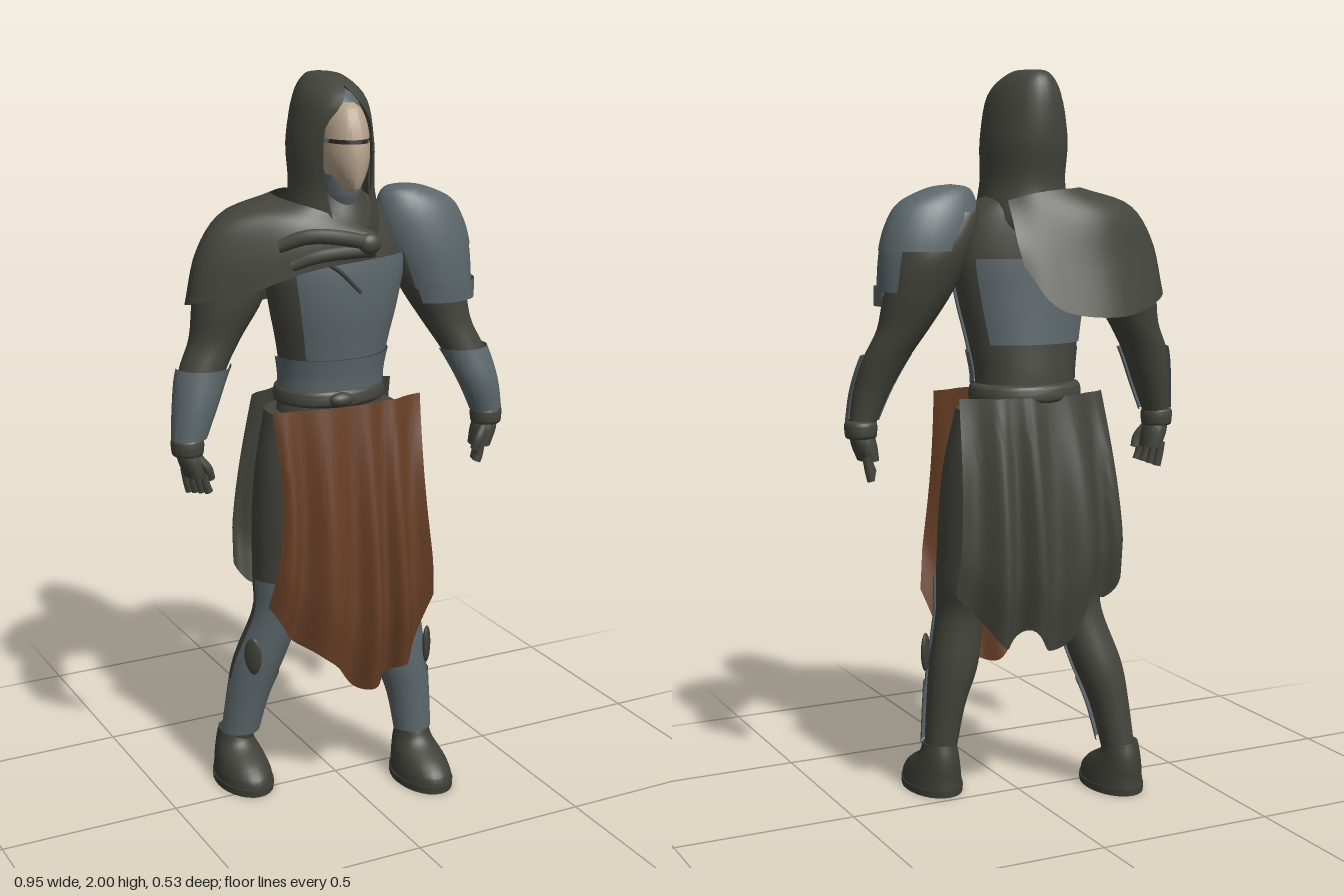
import * as THREE from 'three';
import { toCreasedNormals } from 'three/addons/utils/BufferGeometryUtils.js';

const mat = (name, color) => new THREE.MeshStandardMaterial({ name, color, side: THREE.DoubleSide });
const dark = mat('dark cloth', 0x44453d), steel = mat('steel', 0x5c676b), brown = mat('brown cloth', 0x683f26),
  bone = mat('mask', 0xb5a28b), boot = mat('boot leather', 0x3f3f38), slit = mat('eye slit', 0x2e2924);

// grid surface: u runs left to right, v top to bottom as seen from outside
function surface(name, material, nu, nv, fn) {
  const pos = [], idx = [];
  for (let j = 0; j <= nv; j++) for (let i = 0; i <= nu; i++) pos.push(...fn(i / nu, j / nv));
  for (let j = 0; j < nv; j++) for (let i = 0; i < nu; i++) {
    const a = j * (nu + 1) + i, b = a + nu + 1;
    idx.push(a, b, a + 1, b, b + 1, a + 1);
  }
  const g = new THREE.BufferGeometry();
  g.setAttribute('position', new THREE.Float32BufferAttribute(pos, 3));
  g.setIndex(idx);
  const m = new THREE.Mesh(toCreasedNormals(g, 0.9), material);
  m.name = name;
  return m;
}
const curve = pts => new THREE.CatmullRomCurve3(pts.map(p => new THREE.Vector3(...p)), false, 'catmullrom', 0.5);

// smooth stack of ellipses [x, y, z, rx, rz]; angle 0 faces +z, PI/2 faces +x
function loft(name, material, secs, o = {}) {
  const { from = 0, to = secs.length - 1, a0 = 0, a1 = Math.PI * 2, grow = 0, cap = false, open = null } = o;
  const c = curve(secs.map(s => [s[0], s[1], s[2]])), r = curve(secs.map(s => [s[3], s[4], 0]));
  const n = Math.max(4, Math.ceil((to - from) * 5)), rows = cap ? n + 2 : n;
  return surface(name, material, 28, rows, (u, v) => {
    const row = Math.round(v * rows) - (cap ? 1 : 0), k = Math.min(Math.max(row / n, 0), 1);
    const t = (from + (to - from) * k) / (secs.length - 1);
    const p = c.getPoint(t), q = r.getPoint(t), end = row < 0 || row > n ? 0 : 1;
    const gap = open ? open(p.y) : 0, a = a0 + gap + (a1 - a0 - 2 * gap) * u;
    return [p.x + end * (q.x + grow) * Math.sin(a), p.y, p.z + end * (q.y + grow) * Math.cos(a)];
  });
}
function tube(name, material, pts, radius) {
  const m = new THREE.Mesh(new THREE.TubeGeometry(curve(pts), 20, radius, 8), material);
  m.name = name;
  return m;
}
function ball(name, material, p, s, turn = 0) {
  const m = new THREE.Mesh(new THREE.SphereGeometry(1, 16, 12), material);
  m.name = name;
  m.position.set(...p);
  m.scale.set(...s);
  m.rotation.y = turn;
  return m;
}

function makeTorso() {
  const g = new THREE.Group();
  g.name = 'torso';
  const body = [[0, 1.7, -.03, .075, .08], [0, 1.63, -.03, .16, .1], [0, 1.52, -.02, .2, .118], [0, 1.4, -.02, .182, .12],
    [0, 1.28, -.03, .155, .115], [0, 1.17, -.04, .14, .112], [0, 1.05, -.03, .16, .115], [0, .93, -.02, .12, .1]];
  g.add(loft('body', dark, body, { cap: true }),
    loft('breastplate', steel, body, { from: 1.95, to: 4.2, a0: -.8, a1: 1.45, grow: .009 }),
    loft('backPlate', steel, body, { from: 2.1, to: 4, a0: 2.2, a1: 4, grow: .012 }),
    loft('waistPlate', steel, body, { from: 4.2, to: 5, a0: -1.6, a1: 1.6, grow: .014 }),
    loft('belt', dark, [[0, 1.172, -.04, .14, .112], [0, 1.163, -.04, .155, .127], [0, 1.13, -.04, .158, .13], [0, 1.12, -.04, .14, .112]]),
    ball('beltKnot', dark, [-.03, 1.15, .095], [.035, .02, .02]));
  return g;
}

function makeHead() {
  const g = new THREE.Group();
  g.name = 'head';
  const face = [[0, 1.935, .04, .02, .045], [0, 1.915, .04, .045, .068], [0, 1.87, .04, .06, .089], [0, 1.81, .04, .063, .1],
    [0, 1.76, .04, .053, .098], [0, 1.72, .04, .03, .088], [0, 1.705, .04, .01, .078]];
  const arc = { a0: -1.6, a1: 1.6 };
  g.add(loft('upperMask', bone, face, { ...arc, to: 2.43 }),
    loft('lowerMask', bone, face, { ...arc, from: 2.6 }),
    loft('eyeSlit', slit, face, { ...arc, from: 2.2, to: 2.9, grow: -.006 }),
    ball('helmet', steel, [0, 1.84, -.005], [.083, .13, .1]),
    loft('chinGuard', steel, [[0, 1.75, .02, .06, .075], [0, 1.7, .015, .055, .075], [0, 1.67, .01, .05, .07]], arc),
    loft('neck', dark, [[0, 1.78, -.01, .06, .06], [0, 1.7, -.01, .075, .08], [0, 1.62, 0, .11, .095], [0, 1.54, 0, .14, .1]], { cap: true }),
    // hood with an opening that closes at the peak
    loft('hood', dark, [[0, 2, -.07, 0, 0], [0, 1.992, -.065, .045, .075], [0, 1.935, -.036, .088, .132], [0, 1.82, -.033, .112, .137],
      [0, 1.71, -.025, .112, .126], [0, 1.62, -.025, .13, .13], [0, 1.55, -.02, .15, .11]],
    { open: y => y > 1.88 ? .7 * Math.min(1, Math.max(0, (1.975 - y) / .095)) : .3 + .4 * Math.min(1, Math.max(0, (y - 1.58) / .16)) }),
    loft('hoodLining', dark, [[0, 1.94, -.04, .07, .1], [0, 1.82, -.033, .098, .124], [0, 1.71, -.025, .1, .115], [0, 1.62, -.025, .118, .115]],
      { open: () => .72 }));
  return g;
}

function makeArm(side, path) {
  const g = new THREE.Group();
  g.name = side > 0 ? 'leftArm' : 'rightArm';
  const [x, y, z] = path[path.length - 1], arc = side > 0 ? { a0: -1.5, a1: 1.75 } : { a0: -1.75, a1: 1.5 };
  g.add(loft('sleeve', dark, path, { cap: true }),
    loft('bracer', steel, path, { from: 3.9, to: 5.8, grow: .011, ...arc }),
    loft('cuff', dark, [[x, y + .025, z, .034, .034], [x, y + .015, z, .044, .044], [x, y - .02, z, .042, .042], [x, y - .025, z, .03, .03]]),
    loft('palm', dark, [[x, y, z, .03, .034], [x - side * .008, y - .04, z, .034, .042], [x - side * .02, y - .085, z, .028, .04]], { cap: true }));
  for (let i = 0; i < 4; i++) {
    const dz = (i - 1.5) * .021, dx = -side * (.002 + i * .01);
    g.add(tube('finger', dark, [[x + dx, y - .07, z + dz], [x + dx - side * .006, y - .105, z + dz], [x + dx - side * .014, y - .138 + i * .004, z + dz]], .0115));
  }
  g.add(tube('thumb', dark, [[x - side * .02, y - .03, z + .025], [x - side * .042, y - .06, z + .034], [x - side * .052, y - .09, z + .03]], .013));
  return g;
}

function makeLeg(side, path, footX, footZ, patch) {
  const g = new THREE.Group();
  g.name = side > 0 ? 'leftLeg' : 'rightLeg';
  const s = [[footX, .145, footZ - .055, .046, .052], [footX, .11, footZ - .05, .054, .066], [footX, .075, footZ - .02, .066, .1],
    [footX, .045, footZ - .003, .073, .117], [footX, .018, footZ, .076, .122]];
  g.add(loft('trouser', dark, path, { cap: true }),
    loft('kneeGuard', steel, path, { from: 2.95, to: 5.5, a0: -1.4, a1: 1.4, grow: .008 }),
    loft('shinGuard', steel, path, { from: 5.4, to: 6.7, a0: -1.45, a1: 1.45, grow: .012 }),
    ball('kneePatch', boot, patch, [.026, .055, .01], side * .8),
    loft('boot', boot, s, { cap: true }),
    loft('sole', boot, [[footX, .02, footZ, .079, .124], [footX, 0, footZ, .078, .123]], { cap: true }));
  return g;
}

// hanging cloth with pleats and a shaped hem; s is +1 for front, -1 for back
function skirt(name, material, s, o) {
  const h = curve(o.hem.map((y, i) => [i / (o.hem.length - 1), y, 0]));
  return surface(name, material, 56, 16, (u, v) => {
    const w = 2 * u - 1, k = Math.sin(Math.min(v * 1.25, 1) * Math.PI / 2);
    const edge = (pair, t) => pair[0] + (pair[1] - pair[0]) * t;
    const x = edge([edge(o.xTop, u), edge(o.xLow, u)], v) - o.nip * w * Math.sin(v * Math.PI);
    const ripple = (.004 + .017 * k) * Math.sin(u * Math.PI * 2 * o.folds + .9 * Math.sin(u * 9));
    const z = o.zTop + (o.zLow - o.zTop) * k + o.tilt * w * k - .125 * Math.max(0, v - .8) - o.wrap * w * w + ripple;
    return [x, 1.14 + (h.getPoint(u).y - 1.14) * v, s * z];
  });
}

export function createModel() {
  const model = new THREE.Group();
  model.name = 'hoodedWarrior';
  model.add(makeTorso(), makeHead());

  model.add(makeArm(1, [[.18, 1.63, -.02, .06, .06], [.25, 1.53, -.015, .095, .085], [.29, 1.42, .01, .092, .085], [.328, 1.32, .03, .07, .066],
    [.368, 1.24, .055, .062, .056], [.4, 1.15, .08, .05, .048], [.43, 1.05, .085, .034, .034]]),
  makeArm(-1, [[-.18, 1.63, -.05, .07, .07], [-.26, 1.53, -.06, .1, .09], [-.29, 1.42, -.06, .095, .088], [-.328, 1.32, -.06, .07, .068],
    [-.37, 1.24, -.05, .064, .058], [-.4, 1.15, -.035, .052, .05], [-.43, 1.045, -.02, .034, .034]]));

  model.add(makeLeg(1, [[.09, 1.1, -.02, .095, .11], [.115, .95, -.01, .103, .112], [.13, .8, .01, .098, .1], [.145, .62, .04, .08, .08],
    [.15, .52, .062, .068, .066], [.168, .37, .068, .069, .068], [.19, .25, .075, .054, .057], [.205, .1, .085, .043, .046]], .205, .14, [.232, .4, .116]),
  makeLeg(-1, [[-.09, 1.1, -.04, .095, .105], [-.115, .95, -.03, .103, .11], [-.135, .8, -.035, .095, .1], [-.15, .62, -.045, .078, .08],
    [-.162, .52, -.05, .067, .068], [-.205, .37, -.085, .069, .068], [-.235, .25, -.105, .055, .058], [-.258, .1, -.125, .044, .048]], -.26, -.075,
  [-.246, .4, -.025]));

  // layered shoulder armour on the left
  const dome = [[.2, 1.702, 0, 0, 0], [.208, 1.692, 0, .058, .045], [.238, 1.655, 0, .108, .076], [.255, 1.6, 0, .128, .095],
    [.272, 1.53, .002, .13, .104], [.29, 1.45, .008, .117, .1], [.302, 1.385, .015, .104, .09]];
  model.add(loft('shoulderDome', steel, dome, { to: 4 }),
    loft('shoulderPlate', steel, dome, { from: 3.7, to: 5.4, a0: -.9, a1: 2.3, grow: -.003 }),
    loft('shoulderRim', steel, dome, { from: 5.2, a0: -.8, a1: 1.9, grow: .005 }));

  // half cape over the right shoulder, from collar to hem
  const rows = [
    [[.06, 1.6, .1], [-.08, 1.66, .08], [-.14, 1.68, .03], [-.16, 1.69, -.04], [-.14, 1.69, -.1], [-.08, 1.69, -.14], [.02, 1.68, -.15], [.09, 1.66, -.12]],
    [[.06, 1.59, .12], [-.11, 1.62, .1], [-.22, 1.64, .045], [-.3, 1.645, -.03], [-.27, 1.64, -.13], [-.15, 1.62, -.19], [0, 1.61, -.18], [.09, 1.61, -.15]],
    [[.06, 1.56, .125], [-.13, 1.57, .108], [-.27, 1.55, .045], [-.37, 1.56, -.04], [-.33, 1.53, -.14], [-.17, 1.5, -.22], [0, 1.5, -.215], [.09, 1.55, -.18]],
    [[.06, 1.53, .12], [-.13, 1.51, .11], [-.29, 1.45, .045], [-.402, 1.42, -.05], [-.35, 1.39, -.165], [-.18, 1.355, -.262], [0, 1.38, -.252], [.08, 1.49, -.2]]
  ].map(curve);
  model.add(surface('shoulderCape', dark, 40, 14, (u, v) => curve(rows.map(r => r.getPoint(1 - u).toArray())).getPoint(v).toArray()));
  model.add(tube('scarfFold', dark, [[-.2, 1.575, .07], [-.13, 1.6, .105], [-.05, 1.595, .13], [.05, 1.57, .138]], .02),
    tube('scarfLowerFold', dark, [[-.17, 1.525, .085], [-.09, 1.55, .115], [.045, 1.555, .13]], .018),
    ball('scarfKnot', dark, [.03, 1.575, .14], [.033, .028, .02]),
    tube('strap', dark, [[-.1, 1.54, .11], [-.04, 1.5, .11], [.02, 1.44, .108]], .006));

  // front and back skirts
  model.add(skirt('frontCloth', brown, 1, { xTop: [-.235, .21], xLow: [-.26, .225], hem: [.6, .5, .46, .41, .335, .345, .38, .42, .57],
    zTop: .135, zLow: .2, wrap: .04, tilt: .022, folds: 4, nip: .025 }),
  skirt('backCloth', dark, -1, { xTop: [-.21, .22], xLow: [-.255, .255], hem: [.65, .57, .6, .48, .45, .52, .47, .55, .62],
    zTop: .165, zLow: .23, wrap: .075, tilt: 0, folds: 4, nip: 0 }));
  return model;
}
